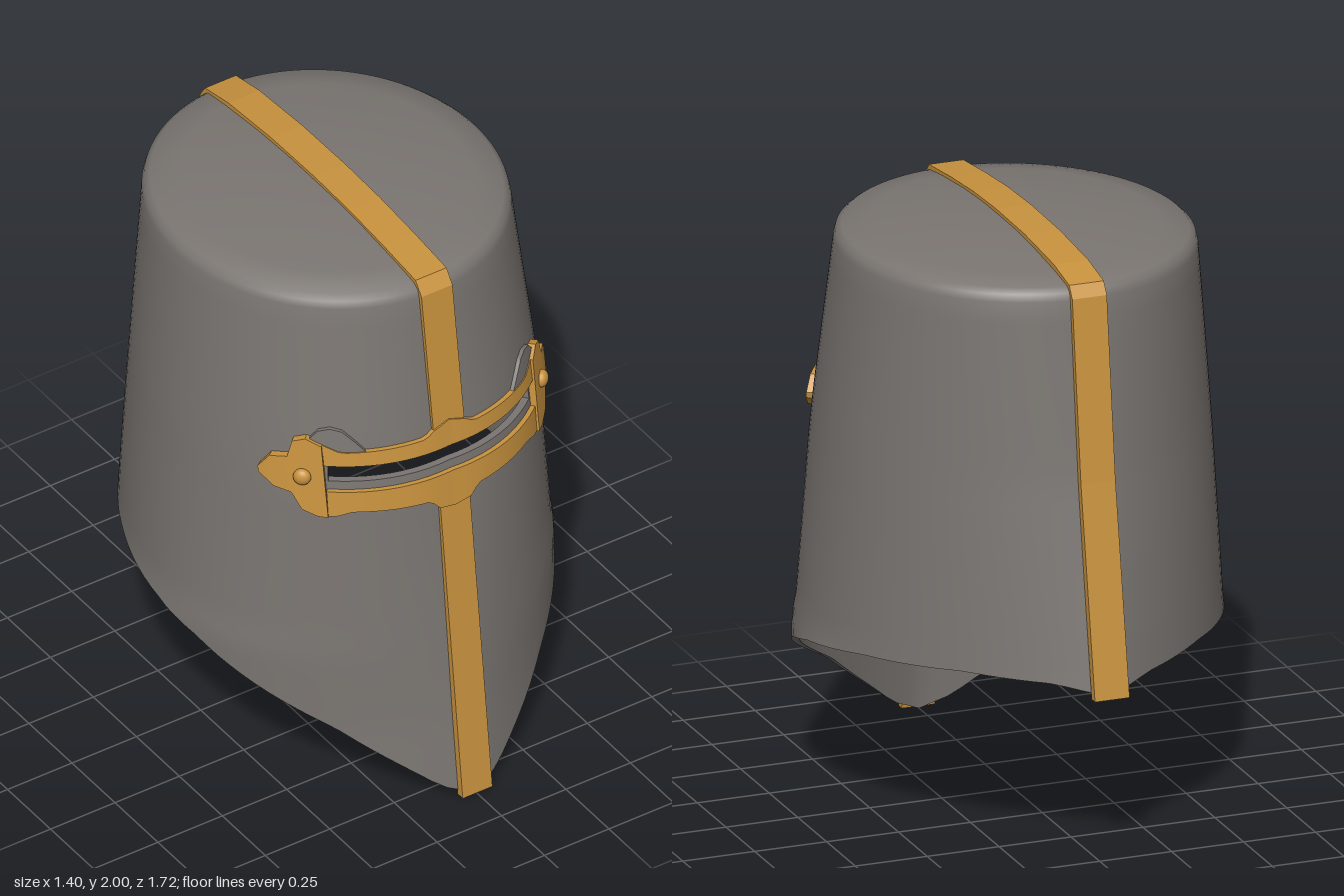
import * as THREE from 'three';
import { mergeGeometries, toCreasedNormals } from 'three/addons/utils/BufferGeometryUtils.js';

const steel = new THREE.MeshStandardMaterial({ color: 0x7a7571, side: THREE.DoubleSide });
steel.name = 'steel';
const brass = new THREE.MeshStandardMaterial({ color: 0xc8923e, side: THREE.DoubleSide });
brass.name = 'brass';

// Piecewise linear curve through [x, y] points
function curve(points) {
  return (x) => {
    if (x <= points[0][0]) return points[0][1];
    for (let i = 1; i < points.length; i++) {
      const [x0, y0] = points[i - 1], [x1, y1] = points[i];
      if (x <= x1) return y0 + (y1 - y0) * (x - x0) / (x1 - x0);
    }
    return points[points.length - 1][1];
  };
}
const lerp = THREE.MathUtils.lerp;

// Helm section by height: half width, front and back reach, centre, pointedness
const halfWidth = curve([[0.5, 0.7], [0.58, 0.7], [0.65, 0.686], [1.3, 0.638], [1.93, 0.58]]);
const frontZ = curve([[0, 0.85], [1.2, 0.71], [1.93, 0.61]]);
const backZ = curve([[0.6, 0.845], [1.3, 0.725], [1.93, 0.645]]);
const centreZ = curve([[0.6, 0.05], [1.93, -0.02]]);
const frontPoint = curve([[0.3, 0.28], [1.2, -0.12], [1.4, -0.12], [1.93, 0]]);
const backPoint = curve([[0.6, 0.45], [1.93, 0]]);
// Height of the lower rim by angle from the front
const rimHeight = curve([[0, 0.005], [0.15, 0.05], [0.29, 0.13], [0.61, 0.3], [0.8, 0.37], [1.03, 0.45],
  [1.3, 0.54], [1.57, 0.59], [2, 0.635], [2.5, 0.655], [2.9, 0.64], [Math.PI, 0.6]]);
const SLIT = { low: 1.27, high: 1.33, angle: Math.PI * 20 / 96 };

// Point on the helm wall: angle t (0 = front, positive = +x), height y, outward offset
function wall(t, y, off = 0) {
  const front = Math.cos(t) >= 0;
  const s = Math.asin(Math.min(1, Math.abs(Math.sin(t))));
  const k = front ? frontPoint(y) : backPoint(y);
  const shape = Math.cos(s) * (1 - k) + k * (1 - s * 2 / Math.PI);
  const c = centreZ(y);
  const z = front ? c + (frontZ(y) - c) * shape : c - (backZ(y) + c) * shape;
  return [halfWidth(y) * Math.sin(t) + off * Math.sin(t), y, z + off * Math.cos(t)];
}

// Grid surface from f(u, v), u and v in 0..1
function patch(nu, nv, f) {
  const pos = [], index = [];
  for (let j = 0; j <= nv; j++) for (let i = 0; i <= nu; i++) pos.push(...f(i / nu, j / nv));
  for (let j = 0; j < nv; j++) {
    for (let i = 0; i < nu; i++) {
      const a = j * (nu + 1) + i, b = a + 1, c = b + nu + 1, d = c - 1;
      index.push(a, b, c, a, c, d);
    }
  }
  const g = new THREE.BufferGeometry();
  g.setAttribute('position', new THREE.Float32BufferAttribute(pos, 3));
  g.setIndex(index);
  return g;
}

function addMesh(group, name, geometry, material) {
  const m = new THREE.Mesh(geometry, material);
  m.name = name;
  group.add(m);
  return m;
}

// One skin of the helm, with the eye slit left open and a domed top
function skin(off, flip) {
  const T = (u) => (flip ? 0.5 - u : u - 0.5) * 2 * Math.PI;
  const dome = [[1, 1.9], [0.988, 1.925], [0.955, 1.942], [0.8, 1.957], [0.5, 1.977], [0.25, 1.986], [0.002, 1.988]];
  const drop = flip ? 0.02 : 0;
  const side = Math.PI - SLIT.angle;
  return [
    patch(96, 14, (u, v) => wall(T(u), lerp(rimHeight(Math.abs(T(u))), SLIT.low, v), off)),
    patch(76, 1, (u, v) => wall(Math.PI + (flip ? 1 - 2 * u : 2 * u - 1) * side, lerp(SLIT.low, SLIT.high, v), off)),
    patch(96, 8, (u, v) => wall(T(u), lerp(SLIT.high, 1.9 - drop, v), off)),
    patch(96, dome.length - 1, (u, v) => {
      const [r, y] = dome[Math.round(v * (dome.length - 1))];
      const [x, , z] = wall(T(u), 1.9 - drop, off);
      return [x * r, y - drop, (z + 0.02) * r - 0.02];
    }),
  ];
}

function helmShell() {
  const thick = -0.025;
  const edges = [
    patch(96, 1, (u, v) => {
      const t = (u - 0.5) * 2 * Math.PI;
      return wall(t, rimHeight(Math.abs(t)), thick * (1 - v));
    }),
  ];
  for (const y of [SLIT.low, SLIT.high]) {
    edges.push(patch(20, 1, (u, v) => wall((2 * u - 1) * SLIT.angle, y, thick * v)));
  }
  for (const s of [-1, 1]) {
    edges.push(patch(1, 1, (u, v) => wall(s * SLIT.angle, lerp(SLIT.low, SLIT.high, u), thick * v)));
  }
  return toCreasedNormals(mergeGeometries([...skin(0, false), ...skin(thick, true), ...edges]), 0.7);
}

// Thin slab lying on the front wall between two outlines, from x0 to x1
function slab(x0, x1, low, high, off, n = 40) {
  const ring = [[0, -0.015], [0, off], [1, off], [1, -0.015], [0, -0.015]];
  const at = (x, y, o) => wall(Math.asin(x / halfWidth(y)), y, o);
  const body = patch(n, 4, (u, v) => {
    const x = lerp(x0, x1, u), [h, o] = ring[Math.round(v * 4)];
    return at(x, h ? high(Math.abs(x)) : low(Math.abs(x)), o);
  });
  const caps = [x0, x1].map((x) => patch(1, 1, (u, v) =>
    at(x, lerp(low(Math.abs(x)), high(Math.abs(x)), v), lerp(-0.015, off, u))));
  return toCreasedNormals(mergeGeometries([body, ...caps]), 0.6);
}

// Raised band in the x = 0 plane following [z, y] points
function band(points, width) {
  const inner = points.map(([z, y]) => [z * 0.965, y > 1.93 ? y - 0.03 : y]).reverse();
  const shape = new THREE.Shape([...points, ...inner].map(([z, y]) => new THREE.Vector2(z, y)));
  const g = new THREE.ExtrudeGeometry(shape, { depth: width, bevelEnabled: false });
  return g.translate(0, 0, -width / 2).rotateY(-Math.PI / 2);
}

export function createModel() {
  const model = new THREE.Group();
  model.name = 'helm';
  addMesh(model, 'helmShell', helmShell(), steel);

  // Brass bands: down the face, and over the crown to the nape
  const proud = (y) => [frontZ(y) + 0.012, y];
  addMesh(model, 'faceBand', band([0.01, 0.4, 0.8, 1.2].map(proud), 0.115), brass);
  addMesh(model, 'crownBand', band([proud(1.36), proud(1.6), proud(1.91), [0.59, 1.957], [0.4, 1.978], [0.2, 1.994],
    [0, 2], [-0.25, 1.996], [-0.5, 1.977], [-0.635, 1.95], [-0.662, 1.91], [-0.737, 1.3], [-0.86, 0.595]], 0.12), brass);

  // Brass frame around the eye slit
  const top = curve([[0, 1.43], [0.06, 1.41], [0.09, 1.39], [0.35, 1.385], [0.4, 1.415], [0.43, 1.435],
    [0.46, 1.42], [0.475, 1.36], [0.51, 1.35], [0.535, 1.3]]);
  const bottom = curve([[0, 1.11], [0.06, 1.12], [0.09, 1.155], [0.33, 1.165], [0.38, 1.145], [0.42, 1.15],
    [0.455, 1.17], [0.475, 1.23], [0.51, 1.24], [0.535, 1.28]]);
  const frame = new THREE.Group();
  frame.name = 'visorFrame';
  model.add(frame);
  const end = 0.395;
  addMesh(frame, 'upperBar', slab(-end, end, () => 1.335, top, 0.016), brass);
  addMesh(frame, 'lowerBar', slab(-end, end, bottom, () => 1.24, 0.016), brass);

  // Mirrored end plates, rivets and steel brow scrolls
  const scroll = curve([[0.28, 1.385], [0.31, 1.425], [0.34, 1.46], [0.37, 1.47], [0.4, 1.46], [0.43, 1.42]]);
  for (const s of [1, -1]) {
    const side = s > 0 ? 'left' : 'right';
    const [a, b] = s > 0 ? [end, 0.535] : [-0.535, -end];
    addMesh(frame, side + 'EndPlate', slab(a, b, bottom, top, 0.025, 28), brass);
    const [c, d] = s > 0 ? [0.28, 0.43] : [-0.43, -0.28];
    addMesh(frame, side + 'BrowScroll', slab(c, d, () => 1.37, scroll, 0.013, 15), steel);
    const t = s * Math.asin(0.447 / halfWidth(1.295));
    const rivet = addMesh(frame, side + 'Rivet', new THREE.SphereGeometry(0.03, 16, 10), brass);
    rivet.position.set(...wall(t, 1.295, 0.027));
    rivet.rotation.y = t;
    rivet.scale.z = 0.7;
  }
  return model;
}
